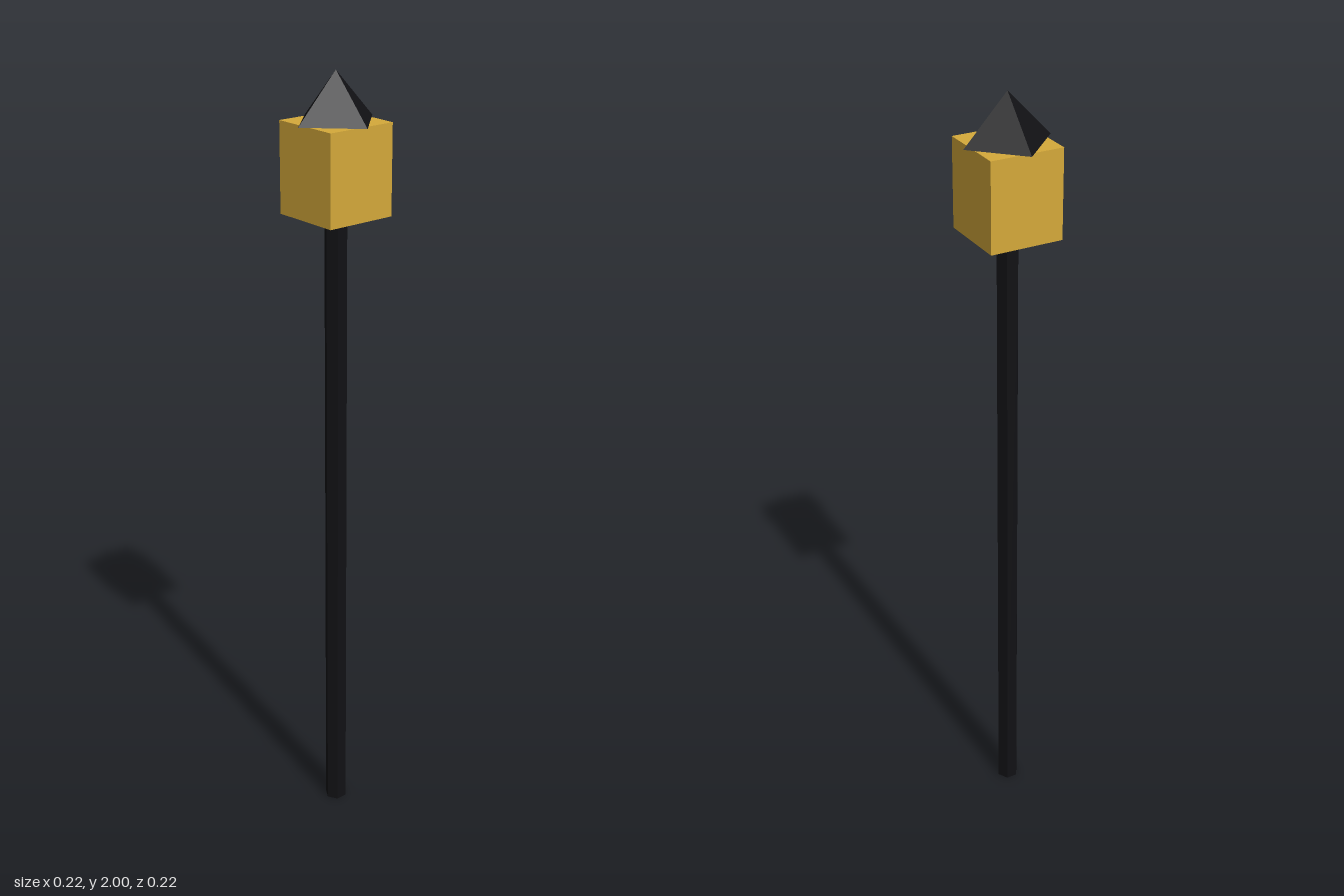
import * as THREE from 'three';

export function createModel() {
  const group = new THREE.Group();
  const black = new THREE.MeshStandardMaterial({ color: 0x111114, flatShading: true });
  const amber = new THREE.MeshStandardMaterial({ color: 0xd4a93a, flatShading: true });

  const poleTop = 1.659, lampTop = 1.882, lampWidth = 0.187;

  // Add a part standing on the given height
  const add = (name, geometry, material, height, base) => {
    const mesh = new THREE.Mesh(geometry, material);
    mesh.name = name;
    mesh.position.y = base + height / 2;
    group.add(mesh);
  };

  // Slim six-sided pole
  add('pole', new THREE.CylinderGeometry(0.029, 0.029, poleTop, 6), black, poleTop, 0);

  // Lamp box
  const lampHeight = lampTop - poleTop;
  add('lamp', new THREE.BoxGeometry(lampWidth, lampHeight, lampWidth), amber, lampHeight, poleTop);

  // Four-sided cap, its corners over the middles of the lamp sides
  const capHeight = 2 - lampTop;
  add('cap', new THREE.ConeGeometry(0.1125, capHeight, 4), black, capHeight, lampTop);

  return group;
}
